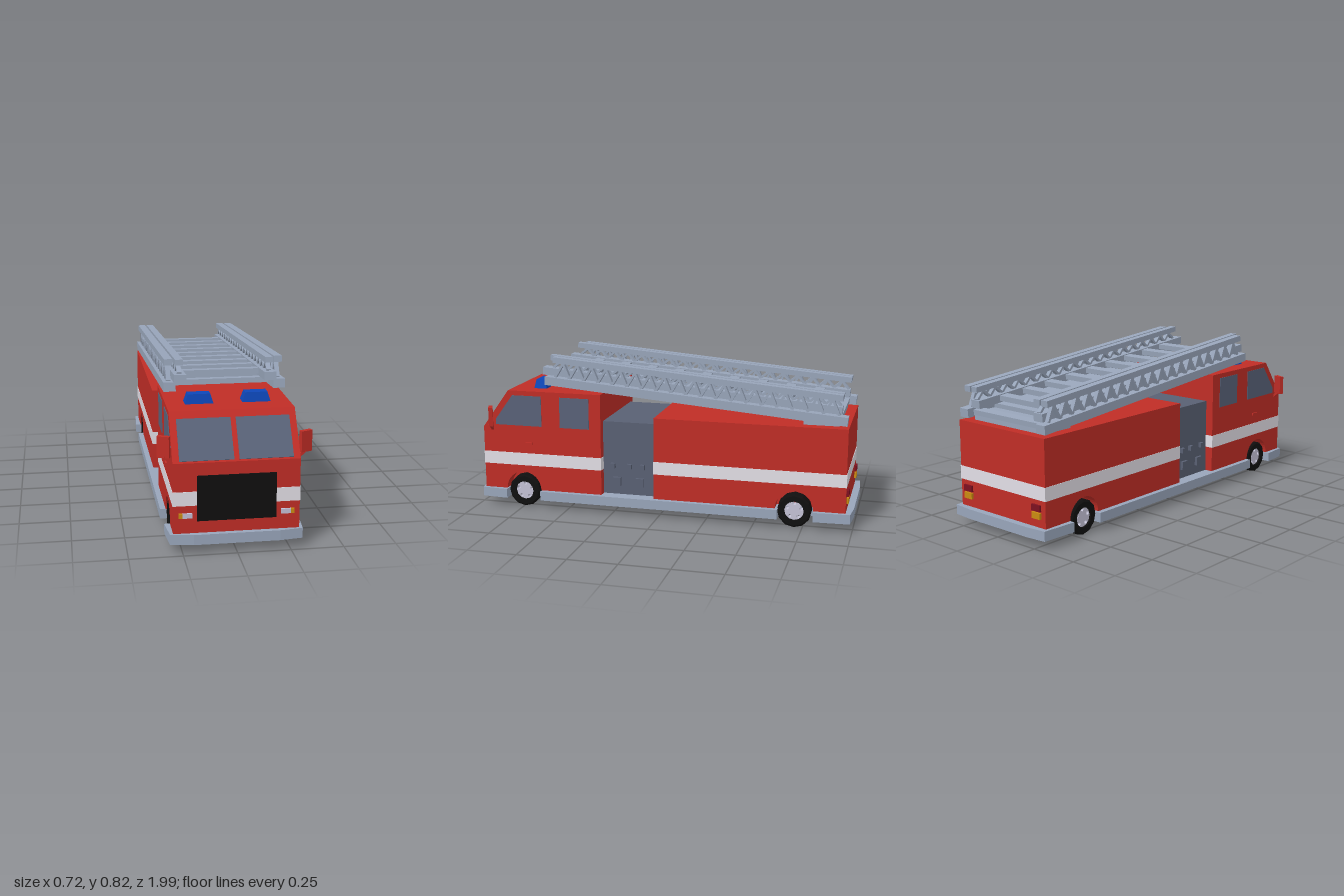
import * as THREE from 'three';

const mat = (color) => new THREE.MeshStandardMaterial({ color, flatShading: true });
const RED = mat(0xc02d26), STEEL = mat(0x98a5ba), PANEL = mat(0x596073), GLASS = mat(0x596278),
  WHITE = mat(0xe2dee6), BLACK = mat(0x100f0f), BLUE = mat(0x0d47b8), AMBER = mat(0xc98a12),
  DARKRED = mat(0x7d1020), RIM = mat(0xc4c2d6), LAMP = mat(0xc4bfd6);

function add(parent, name, geometry, material, x = 0, y = 0, z = 0) {
  const mesh = new THREE.Mesh(geometry, material);
  mesh.name = name;
  mesh.position.set(x, y, z);
  parent.add(mesh);
  return mesh;
}

// Box given by its limits on each axis
function block(parent, name, material, [x0, x1], [y0, y1], [z0, z1]) {
  const g = new THREE.BoxGeometry(Math.abs(x1 - x0), y1 - y0, z1 - z0);
  return add(parent, name, g, material, (x0 + x1) / 2, (y0 + y1) / 2, (z0 + z1) / 2);
}

// Side profile of [z, y] points extruded between two x limits, with an optional wheel arch
function slab(parent, name, material, points, x0, x1, archZ) {
  const shape = new THREE.Shape();
  points.forEach(([z, y], i) => (i ? shape.lineTo(z, y) : shape.moveTo(z, y)));
  if (archZ !== undefined) {
    shape.lineTo(archZ + 0.097, 0.095);
    shape.absarc(archZ, 0.095, 0.097, 0, Math.PI, false);
  }
  const g = new THREE.ExtrudeGeometry(shape, { depth: x1 - x0, bevelEnabled: false, curveSegments: 10 });
  g.rotateY(-Math.PI / 2).translate(x1, 0, 0);
  return add(parent, name, g, material);
}

// Solid core plus side walls with wheel arches
function bodySection(parent, name, points, archZ) {
  slab(parent, name + 'Core', RED, points, -0.22, 0.22);
  slab(parent, name + 'LeftWall', RED, points, 0.22, 0.293, archZ);
  slab(parent, name + 'RightWall', RED, points, -0.293, -0.22, archZ);
}

function makeWheel() {
  const wheel = new THREE.Group();
  wheel.name = 'wheel';
  const ring = [[0.05, -0.031], [0.078, -0.031], [0.087, -0.024], [0.087, 0.024], [0.078, 0.031], [0.05, 0.031], [0.05, -0.031]]
    .map(([r, h]) => new THREE.Vector2(r, h));
  add(wheel, 'tyre', new THREE.LatheGeometry(ring, 12).rotateZ(Math.PI / 2), BLACK);
  const disc = new THREE.Shape().absarc(0, 0, 0.051, 0, Math.PI * 2);
  for (let i = 0; i < 5; i++) {
    const a = (i / 5) * Math.PI * 2 + 0.3;
    disc.holes.push(new THREE.Path().absarc(Math.cos(a) * 0.038, Math.sin(a) * 0.038, 0.009, 0, Math.PI * 2, true));
  }
  const rim = new THREE.ExtrudeGeometry(disc, { depth: 0.04, bevelEnabled: false, curveSegments: 6 });
  add(wheel, 'rim', rim.rotateY(Math.PI / 2).translate(-0.02, 0, 0), RIM);
  return wheel;
}

// Zigzag bracing between two heights, running along z
function lattice(parent, x, y0, y1, z0, z1, count) {
  const step = (z1 - z0) / count;
  const length = Math.hypot(step, y1 - y0);
  for (let i = 0; i < count; i++) {
    const bar = add(parent, 'brace', new THREE.BoxGeometry(0.022, 0.012, length), STEEL, x, (y0 + y1) / 2, z0 + (i + 0.5) * step);
    bar.rotation.x = (i % 2 ? 1 : -1) * Math.atan2(y1 - y0, step);
  }
}

function makeLadder() {
  const ladder = new THREE.Group();
  ladder.name = 'ladder';
  for (const s of [1, -1]) {
    // outer, lower section
    block(ladder, 'outerBaseRail', STEEL, [s * 0.235, s * 0.293], [-0.07, -0.026], [-0.966, 0.61]);
    block(ladder, 'outerTopRail', STEEL, [s * 0.245, s * 0.285], [0.05, 0.08], [-0.93, 0.575]);
    lattice(ladder, s * 0.265, -0.026, 0.05, -0.92, 0.56, 38);
    // inner, upper section
    block(ladder, 'innerBaseRail', STEEL, [s * 0.187, s * 0.245], [-0.027, 0.013], [-0.93, 0.64]);
    block(ladder, 'innerTopRail', STEEL, [s * 0.197, s * 0.235], [0.052, 0.08], [-0.93, 0.605]);
    lattice(ladder, s * 0.216, 0.013, 0.052, -0.92, 0.59, 38);
  }
  for (let i = 0; i < 9; i++) {
    const z = 0.46 - i * 0.154;
    block(ladder, 'innerRung', STEEL, [-0.19, 0.19], [-0.018, 0.009], [z - 0.025, z + 0.025]);
    block(ladder, 'outerRung', STEEL, [-0.24, 0.24], [-0.062, -0.036], [z - 0.024, z + 0.024]);
  }
  block(ladder, 'endRung', STEEL, [-0.24, 0.24], [-0.062, -0.036], [-0.93, -0.88]);
  ladder.position.y = 0.69;
  ladder.rotation.x = -0.084;
  return ladder;
}

export function createModel() {
  const truck = new THREE.Group();
  truck.name = 'fireEngine';
  const frontAxle = 0.745, rearAxle = -0.707;

  // Chassis plate with bowed bumpers and notches for the wheels
  const half = [[0.2, 0.99], [0.308, 0.975], [0.32, 0.835], [0.22, 0.835], [0.22, 0.645], [0.32, 0.645],
    [0.32, -0.625], [0.22, -0.625], [0.22, -0.805], [0.32, -0.805], [0.31, -0.99], [0.2, -1]];
  const outline = [...half, ...half.map(([x, z]) => [-x, z]).reverse()].map(([x, z]) => new THREE.Vector2(x, z));
  const plate = new THREE.ExtrudeGeometry(new THREE.Shape(outline), { depth: 0.049, bevelEnabled: false });
  add(truck, 'chassis', plate.rotateX(Math.PI / 2).translate(0, 0.095, 0), STEEL);

  // Cab, pump bay and rear body
  bodySection(truck, 'cab', [[0.31, 0.095], [0.31, 0.632], [0.82, 0.632], [0.965, 0.43], [0.965, 0.095]], frontAxle);
  bodySection(truck, 'rearBody', [[-0.965, 0.095], [-0.965, 0.525], [0.025, 0.525], [0.025, 0.095]], rearAxle);
  block(truck, 'pumpBay', PANEL, [-0.25, 0.25], [0.095, 0.485], [0.025, 0.31]);
  block(truck, 'cabStripe', WHITE, [-0.295, 0.295], [0.228, 0.295], [0.309, 0.967]);
  block(truck, 'rearStripe', WHITE, [-0.295, 0.295], [0.228, 0.295], [-0.967, 0.026]);
  block(truck, 'grille', BLACK, [-0.183, 0.183], [0.153, 0.37], [0.95, 0.97]);

  for (const s of [1, -1]) {
    // Windows
    const screen = add(truck, 'windscreen', new THREE.BoxGeometry(0.25, 0.203, 0.006), GLASS, s * 0.137, 0.5195, 0.901);
    screen.rotation.x = -Math.atan2(0.145, 0.202);
    const x0 = s > 0 ? 0.29 : -0.2955;
    slab(truck, 'doorWindow', GLASS, [[0.636, 0.445], [0.636, 0.607], [0.797, 0.607], [0.893, 0.475], [0.893, 0.445]], x0, x0 + 0.0055);
    slab(truck, 'rearWindow', GLASS, [[0.373, 0.445], [0.373, 0.607], [0.534, 0.607], [0.534, 0.445]], x0, x0 + 0.0055);
    block(truck, 'doorHandle', RED, [s * 0.29, s * 0.301], [0.344, 0.357], [0.69, 0.73]);

    // Mirror and its arm
    const mirror = add(truck, 'mirror', new THREE.BoxGeometry(0.058, 0.1, 0.022), RED, s * 0.327, 0.495, 0.908);
    mirror.rotation.y = s * 0.4;
    const arm = add(truck, 'mirrorArm', new THREE.BoxGeometry(0.05, 0.014, 0.014), RED, s * 0.305, 0.435, 0.915);
    arm.rotation.z = s * 0.75;

    // Lamps
    block(truck, 'headlamp', LAMP, [s * 0.206, s * 0.251], [0.17, 0.193], [0.96, 0.974]);
    block(truck, 'frontIndicator', AMBER, [s * 0.251, s * 0.267], [0.17, 0.193], [0.96, 0.974]);
    block(truck, 'tailLamp', DARKRED, [s * 0.21, s * 0.265], [0.174, 0.205], [-0.976, -0.96]);
    block(truck, 'rearIndicator', AMBER, [s * 0.21, s * 0.265], [0.137, 0.168], [-0.976, -0.96]);

    // Beacon: a box tapered towards its top
    const beacon = new THREE.BoxGeometry(0.136, 0.047, 0.07);
    const p = beacon.attributes.position;
    for (let i = 0; i < p.count; i++) if (p.getY(i) > 0) p.setXYZ(i, p.getX(i) * 0.78, p.getY(i), p.getZ(i) * 0.75);
    add(truck, 'beacon', beacon, BLUE, s * 0.136, 0.654, 0.672);

    // Pump controls
    for (const z of [0.255, 0.165, 0.095])
      block(truck, 'pumpValve', PANEL, [s * 0.245, s * 0.268], [0.238, 0.263], [z - 0.012, z + 0.012]);
    for (const z of [0.235, 0.11])
      block(truck, 'pumpOutlet', PANEL, [s * 0.245, s * 0.265], [0.143, 0.188], [z - 0.022, z + 0.022]);

    // Wheels
    for (const z of [frontAxle, rearAxle]) {
      const wheel = makeWheel();
      wheel.position.set(s * 0.259, 0.087, z);
      truck.add(wheel);
    }
  }

  // Ladder and its mount
  block(truck, 'ladderMount', STEEL, [-0.235, 0.235], [0.52, 0.565], [-0.915, -0.735]);
  truck.add(makeLadder());
  return truck;
}
